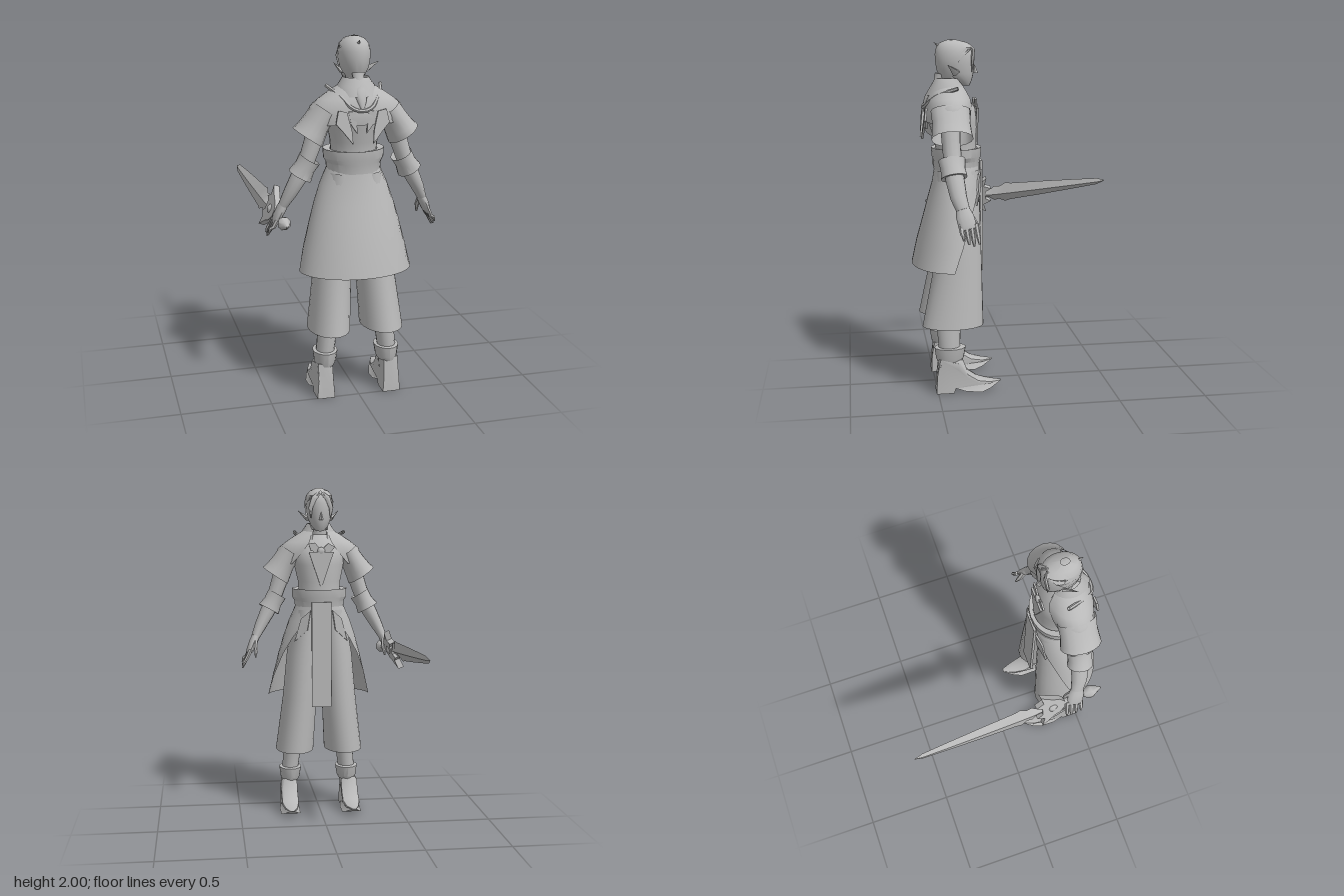
import * as THREE from 'three';
import { toCreasedNormals } from 'three/addons/utils/BufferGeometryUtils.js';

const grey = new THREE.MeshStandardMaterial({ color: 0xb8b8b8, side: THREE.DoubleSide });
grey.name = 'plain grey';

function part(parent, name, geo, crease = 0.8) {
  const mesh = new THREE.Mesh(toCreasedNormals(geo, crease), grey);
  mesh.name = name;
  parent.add(mesh);
  return mesh;
}

// Skin over oval sections [x, y, z, sideRadius, depthRadius, halfSweep]; sweep opens towards -z
function loft(sections, { n = 16, follow = false, cap = true } = {}) {
  const pos = [], index = [], Z = new THREE.Vector3(0, 0, 1);
  const at = i => new THREE.Vector3(...sections[Math.min(Math.max(i, 0), sections.length - 1)].slice(0, 3));
  sections.forEach(([x, y, z, ru, rv, sweep = Math.PI], i) => {
    const d = follow ? at(i + 1).sub(at(i - 1)).normalize() : new THREE.Vector3(0, 1, 0);
    const u = d.clone().cross(Z).normalize(), v = u.clone().cross(d);
    for (let j = 0; j <= n; j++) {
      const t = -sweep + 2 * sweep * j / n;
      const p = new THREE.Vector3(x, y, z).addScaledVector(u, ru * Math.sin(t)).addScaledVector(v, rv * Math.cos(t));
      pos.push(p.x, p.y, p.z);
    }
  });
  const w = n + 1, last = sections.length - 1;
  for (let i = 0; i < last; i++) for (let j = 0; j < n; j++) {
    const a = i * w + j, c = a + w;
    index.push(a, a + 1, c, a + 1, c + 1, c);
  }
  if (cap) for (const i of [0, last]) {
    const m = pos.length / 3;
    pos.push(...sections[i].slice(0, 3));
    for (let j = 0; j < n; j++) {
      const a = i * w + j;
      if (i === 0) index.push(m, a + 1, a); else index.push(m, a, a + 1);
    }
  }
  const g = new THREE.BufferGeometry();
  g.setAttribute('position', new THREE.Float32BufferAttribute(pos, 3));
  g.setIndex(index);
  return g;
}
const open = { cap: false, n: 24 };
const limb = { follow: true, n: 12 };
const sleeve = { follow: true, n: 16, cap: false };

function plate(points, depth, steps = 1) {
  const shape = new THREE.Shape(points.map(p => new THREE.Vector2(...p)));
  return new THREE.ExtrudeGeometry(shape, { depth, steps, bevelEnabled: false }).translate(0, 0, -depth / 2);
}

function addHead(g) {
  part(g, 'neck', loft([[0, 1.64, 0.4, 0.06, 0.06], [0, 1.7, 0.39, 0.048, 0.052], [0, 1.81, 0.375, 0.05, 0.055]]));
  part(g, 'head', loft([
    [0, 1.742, 0.305, 0.022, 0.025], [0, 1.77, 0.325, 0.05, 0.058], [0, 1.81, 0.347, 0.067, 0.09],
    [0, 1.86, 0.358, 0.077, 0.105], [0, 1.91, 0.36, 0.08, 0.107], [0, 1.95, 0.362, 0.073, 0.095],
    [0, 1.975, 0.37, 0.05, 0.07], [0, 1.988, 0.375, 0.015, 0.02]], { n: 20 }));
  // Swept-back hair shell, tied into a tail at the nape
  part(g, 'hair', loft([
    [0, 1.78, 0.37, 0.05, 0.07, 1.3], [0, 1.83, 0.365, 0.078, 0.1, 1.5], [0, 1.88, 0.362, 0.086, 0.111, 1.7],
    [0, 1.92, 0.362, 0.087, 0.112, 2.1], [0, 1.955, 0.362, 0.078, 0.104, 2.9], [0, 1.982, 0.368, 0.054, 0.077, Math.PI],
    [0, 1.997, 0.378, 0.018, 0.025, Math.PI]], open));
  part(g, 'hairTail', loft([
    [0, 1.81, 0.45, 0.035, 0.025], [0, 1.76, 0.462, 0.026, 0.022], [0, 1.72, 0.49, 0.038, 0.02],
    [0, 1.67, 0.525, 0.025, 0.015], [0, 1.62, 0.54, 0.004, 0.004]], limb));
  part(g, 'hairTuft', new THREE.ConeGeometry(0.018, 0.06, 4).rotateX(0.9).translate(0, 1.965, 0.455));
  part(g, 'nose', new THREE.ConeGeometry(0.013, 0.05, 4).scale(1, 1, 1.5).translate(0, 1.835, 0.25));
  for (const s of [-1, 1]) {
    const ear = part(g, 'ear', new THREE.ConeGeometry(0.024, 0.095, 5).scale(0.5, 1, 1).translate(0, 0.045, 0));
    ear.position.set(s * 0.072, 1.815, 0.36);
    ear.quaternion.setFromUnitVectors(new THREE.Vector3(0, 1, 0), new THREE.Vector3(s * 0.055, 0.05, 0.055).normalize());
    part(g, 'fringeLock', loft([
      [s * 0.01, 1.965, 0.285, 0.014, 0.01], [s * 0.04, 1.94, 0.262, 0.018, 0.01],
      [s * 0.062, 1.88, 0.268, 0.014, 0.009], [s * 0.058, 1.82, 0.272, 0.002, 0.002]], { follow: true, n: 6 }));
  }
}

function addBody(g) {
  part(g, 'torso', loft([
    [0, 1.26, 0.36, 0.145, 0.125], [0, 1.36, 0.36, 0.125, 0.115], [0, 1.44, 0.365, 0.13, 0.12],
    [0, 1.54, 0.38, 0.152, 0.138], [0, 1.62, 0.39, 0.168, 0.138], [0, 1.68, 0.4, 0.13, 0.105], [0, 1.72, 0.39, 0.06, 0.06]], { n: 24 }));
  part(g, 'belt', loft([
    [0, 1.27, 0.36, 0.148, 0.13], [0, 1.32, 0.36, 0.152, 0.133], [0, 1.345, 0.36, 0.166, 0.14],
    [0, 1.395, 0.36, 0.168, 0.143], [0, 1.39, 0.36, 0.13, 0.12]], open), 0.4);
  // Long coat skirt, parted at the wearer's front
  part(g, 'coatSkirt', loft([
    [0, 1.29, 0.357, 0.148, 0.128, 2.85], [0, 1.2, 0.36, 0.188, 0.14, 2.55], [0, 1.1, 0.37, 0.222, 0.158, 2.25],
    [0, 1.0, 0.38, 0.25, 0.175, 2], [0, 0.86, 0.39, 0.285, 0.205, 1.75], [0, 0.725, 0.4, 0.316, 0.225, 1.55]], open));
  part(g, 'tabard', new THREE.BoxGeometry(0.12, 0.64, 0.014).translate(0, 1.0, 0.224));
  // Shoulder cape
  part(g, 'cape', loft([
    [0, 1.75, 0.395, 0.08, 0.075, 2.7], [0, 1.715, 0.398, 0.14, 0.1, 2.75], [0, 1.675, 0.4, 0.2, 0.122, 2.8],
    [0, 1.635, 0.402, 0.25, 0.133, 2.75], [0, 1.585, 0.405, 0.262, 0.135, 2.6], [0, 1.545, 0.405, 0.268, 0.13, 2.45]], open));
  part(g, 'collar', loft([
    [0, 1.69, 0.41, 0.115, 0.115, 2.75], [0, 1.74, 0.405, 0.1, 0.095, 2.7], [0, 1.785, 0.4, 0.07, 0.075, 2.2]], open));
  const cord = [[-0.15, 1.735, 0.36], [-0.1, 1.69, 0.48], [-0.05, 1.635, 0.535], [0, 1.622, 0.545],
    [0.05, 1.635, 0.535], [0.1, 1.69, 0.48], [0.15, 1.735, 0.36]].map(p => new THREE.Vector3(...p));
  part(g, 'capeCord', new THREE.TubeGeometry(new THREE.CatmullRomCurve3(cord), 24, 0.011, 6));
  // Front panel and clasp
  part(g, 'chestPanel', plate([[-0.075, 1.62], [0, 1.4], [0.075, 1.62]], 0.012).translate(0, 0, 0.243));
  part(g, 'clasp', new THREE.SphereGeometry(0.024, 10, 8).scale(1, 1, 0.6).translate(0, 1.625, 0.248));
  for (const s of [-1, 1]) for (const [tilt, size] of [[0.35, 1], [-0.6, 0.8]]) {
    const bow = part(g, 'claspRibbon', plate([[0, 0], [0.05, 0.03], [0.085, 0.01], [0.055, -0.025]], 0.01));
    bow.position.set(0, 1.63, 0.252);
    bow.rotation.z = s > 0 ? tilt : Math.PI - tilt;
    bow.scale.setScalar(size);
  }
}

// Everything mirrored on either side, built for +x
function addSide(g) {
  part(g, 'capeSleeve', loft([
    [0.17, 1.615, 0.405, 0.07, 0.11], [0.215, 1.55, 0.405, 0.072, 0.105], [0.245, 1.5, 0.405, 0.082, 0.11],
    [0.265, 1.47, 0.405, 0.092, 0.115]], sleeve));
  part(g, 'capeTail', plate([[0.13, 1.63], [0.145, 1.56], [0.11, 1.52], [0.055, 1.45], [0.06, 1.52], [0.085, 1.62]], 0.012)
    .rotateX(-0.12).translate(0, 0.01, 0.73));
  part(g, 'capeInnerTail', plate([[0.035, 1.62], [0.075, 1.62], [0.06, 1.55], [0.025, 1.5]], 0.012).translate(0, 0, 0.53));
  part(g, 'coatFlap', plate([[0.07, 1.27], [0.13, 1.22], [0.17, 1.08], [0.09, 1.15]], 0.01).rotateY(-0.35).translate(0, 0, 0.205));
  part(g, 'arm', loft([
    [0.19, 1.6, 0.41, 0.055, 0.06], [0.235, 1.45, 0.41, 0.05, 0.052], [0.275, 1.33, 0.405, 0.044, 0.05],
    [0.315, 1.25, 0.398, 0.045, 0.052], [0.36, 1.165, 0.385, 0.036, 0.046], [0.392, 1.1, 0.365, 0.026, 0.038]], limb));
  part(g, 'armCuff', loft([
    [0.27, 1.33, 0.41, 0.04, 0.045], [0.255, 1.355, 0.41, 0.06, 0.075], [0.282, 1.308, 0.406, 0.056, 0.068],
    [0.307, 1.263, 0.402, 0.068, 0.073], [0.3, 1.275, 0.402, 0.045, 0.05]].slice(1), sleeve));
  // Hand
  part(g, 'palm', loft([
    [0.385, 1.115, 0.368, 0.024, 0.034], [0.405, 1.07, 0.358, 0.026, 0.048],
    [0.428, 1.02, 0.345, 0.022, 0.05], [0.438, 1.0, 0.34, 0.014, 0.044]], limb));
  for (let i = 0; i < 4; i++) {
    const z = 0.382 - i * 0.028, drop = [0.03, 0.01, 0, 0.012][i];
    part(g, 'finger', loft([
      [0.425, 1.03, z, 0.013, 0.014], [0.448, 0.98, z - 0.006, 0.012, 0.013],
      [0.466, 0.94 + drop, z - 0.01, 0.01, 0.011], [0.475, 0.915 + drop, z - 0.012, 0.004, 0.005]], { follow: true, n: 6 }));
  }
  part(g, 'thumb', loft([
    [0.395, 1.075, 0.33, 0.014, 0.018], [0.392, 1.03, 0.3, 0.013, 0.014], [0.397, 0.985, 0.28, 0.005, 0.006]], { follow: true, n: 6 }));
  // Wide trousers, lower leg and boot
  part(g, 'trouserLeg', loft([
    [0.075, 1.27, 0.36, 0.075, 0.115], [0.1, 1.0, 0.365, 0.1, 0.128], [0.122, 0.72, 0.37, 0.105, 0.138],
    [0.152, 0.385, 0.404, 0.117, 0.175]], open));
  part(g, 'lowerLeg', loft([
    [0.185, 0.12, 0.43, 0.045, 0.055], [0.18, 0.24, 0.43, 0.05, 0.06], [0.162, 0.4, 0.43, 0.055, 0.07], [0.14, 0.6, 0.4, 0.07, 0.08]]));
  part(g, 'bootCuff', loft([
    [0.181, 0.18, 0.428, 0.052, 0.072], [0.179, 0.2, 0.427, 0.06, 0.08], [0.178, 0.262, 0.425, 0.069, 0.09],
    [0.178, 0.265, 0.425, 0.045, 0.06]], { n: 16 }), 0.5);
  const boot = plate([[-0.51, 0], [-0.41, 0], [-0.4, 0.03], [-0.34, 0.012], [-0.25, 0.002], [-0.2, 0.018], [-0.135, 0.052],
    [-0.2, 0.062], [-0.27, 0.08], [-0.33, 0.125], [-0.36, 0.2], [-0.495, 0.2], [-0.505, 0.1]], 2, 6).rotateY(Math.PI / 2);
  const p = boot.attributes.position;
  for (let i = 0; i < p.count; i++) {
    const t = p.getX(i), y = p.getY(i), z = p.getZ(i);
    const toe = z < 0.26 ? Math.max(0.04, (z - 0.135) / 0.125) : 1;
    const width = (z > 0.38 ? 0.05 : 0.062) * Math.sqrt(toe);
    const round = y > 0.055 ? Math.sin(t * Math.PI / 2) * (1 - 0.15 * t * t) : t;
    p.setXYZ(i, 0.19 + round * width, y > 0.055 && z < 0.4 ? y * (1 - 0.3 * t * t) : y, y > 0.15 ? z - (z - 0.43) * 0.35 * t * t : z);
  }
  part(g, 'boot', boot);
}

function addSword(g) {
  const sword = new THREE.Group();
  sword.name = 'sword';
  const start = new THREE.Vector3(-0.405, 1.015, 0.45), dir = new THREE.Vector3(-0.478, 1.095, -0.63).sub(start);
  const tip = dir.length();
  sword.position.copy(start);
  sword.quaternion.setFromUnitVectors(new THREE.Vector3(0, 1, 0), dir.normalize());
  sword.rotateY(0.45);
  part(sword, 'pommel', loft([
    [0, -0.065, 0, 0.004, 0.004], [0, -0.035, 0, 0.02, 0.02], [0, 0, 0, 0.038, 0.038], [0, 0.03, 0, 0.03, 0.03], [0, 0.05, 0, 0.016, 0.016]], { n: 8 }));
  part(sword, 'grip', new THREE.CylinderGeometry(0.017, 0.017, 0.24, 8).translate(0, 0.14, 0));
  const half = [[0.02, 0.17], [0.055, 0.2], [0.07, 0.24], [0.12, 0.315], [0.065, 0.3], [0.045, 0.345], [0.025, 0.31]];
  const outline = [...half, ...half.slice().reverse().map(([x, y]) => [-x, y])];
  part(sword, 'guard', plate(outline, 0.035).rotateY(Math.PI / 2));
  part(sword, 'guardBoss', new THREE.SphereGeometry(0.032, 8, 6).translate(0, 0.245, 0));
  part(sword, 'blade', loft([
    [0, 0.27, 0, 0.012, 0.02], [0, 0.34, 0, 0.018, 0.028], [0, 0.37, 0, 0.02, 0.052], [0, 0.4, 0, 0.02, 0.046],
    [0, 0.44, 0, 0.02, 0.068], [0, 0.47, 0, 0.02, 0.06], [0, 0.7, 0, 0.017, 0.047], [0, 0.9, 0, 0.013, 0.033],
    [0, tip - 0.05, 0, 0.009, 0.022], [0, tip, 0, 0.001, 0.002]], { n: 4 }), 0.4);
  g.add(sword);
}

export function createModel() {
  const model = new THREE.Group();
  model.name = 'swordsman';
  addHead(model);
  addBody(model);
  for (const s of [1, -1]) {
    const side = new THREE.Group();
    side.name = s > 0 ? 'leftSide' : 'rightSide';
    side.scale.x = s;
    addSide(side);
    model.add(side);
  }
  addSword(model);
  return model;
}
